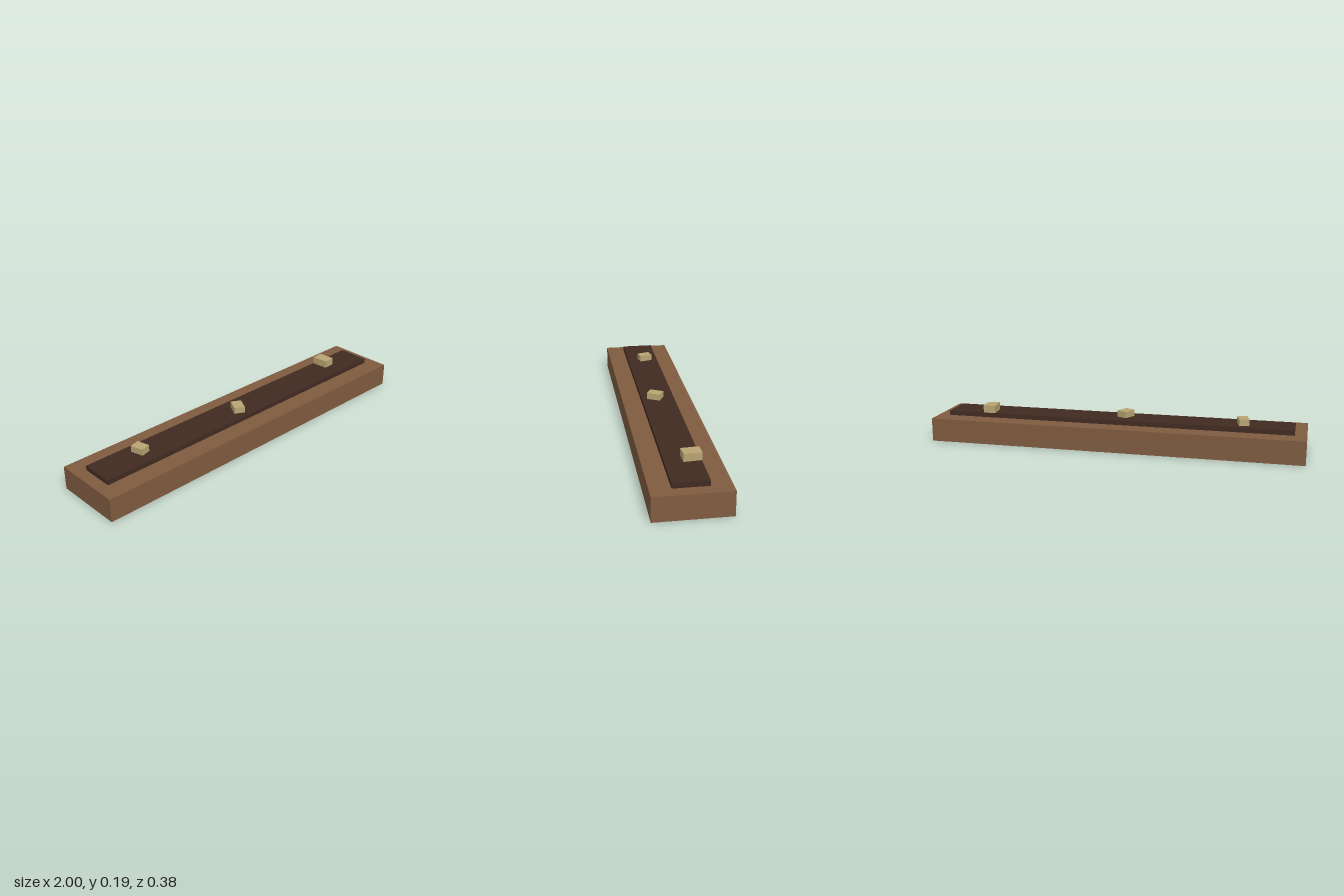
import * as THREE from 'three';

const wood = new THREE.MeshStandardMaterial({ color: 0x805c40, side: THREE.DoubleSide });
wood.name = 'brown wood';
const dark = new THREE.MeshStandardMaterial({ color: 0x412b22, side: THREE.DoubleSide });
dark.name = 'dark brown';
const tan = new THREE.MeshStandardMaterial({ color: 0xb9a573, side: THREE.DoubleSide });
tan.name = 'tan';

// Box without its underside, standing on height y
function openBox(name, material, [w, h, d], [x, y, z], turn = 0) {
  const geometry = new THREE.BoxGeometry(w, h, d);
  const index = Array.from(geometry.index.array);
  index.splice(18, 6);
  geometry.setIndex(index);
  geometry.clearGroups();
  const mesh = new THREE.Mesh(geometry, material);
  mesh.name = name;
  mesh.position.set(x, y + h / 2, z);
  mesh.rotation.y = turn;
  return mesh;
}

export function createModel() {
  const group = new THREE.Group();
  group.name = 'plankWithBlocks';

  // Long hollow base and the slab on top of it
  group.add(openBox('base', wood, [2, 0.125, 0.375], [0, 0, 0]));
  group.add(openBox('slab', dark, [1.875, 0.025, 0.175], [0, 0.125, 0]));

  // Three small blocks scattered along the slab
  group.add(openBox('rightBlock', tan, [0.053, 0.034, 0.07], [-0.672, 0.15, -0.0125], 0.25));
  group.add(openBox('middleBlock', tan, [0.0575, 0.034, 0.075], [-0.0425, 0.15, 0.014], -0.49));
  group.add(openBox('leftBlock', tan, [0.065, 0.04, 0.09], [0.706, 0.15, -0.043], 0.07));

  return group;
}
